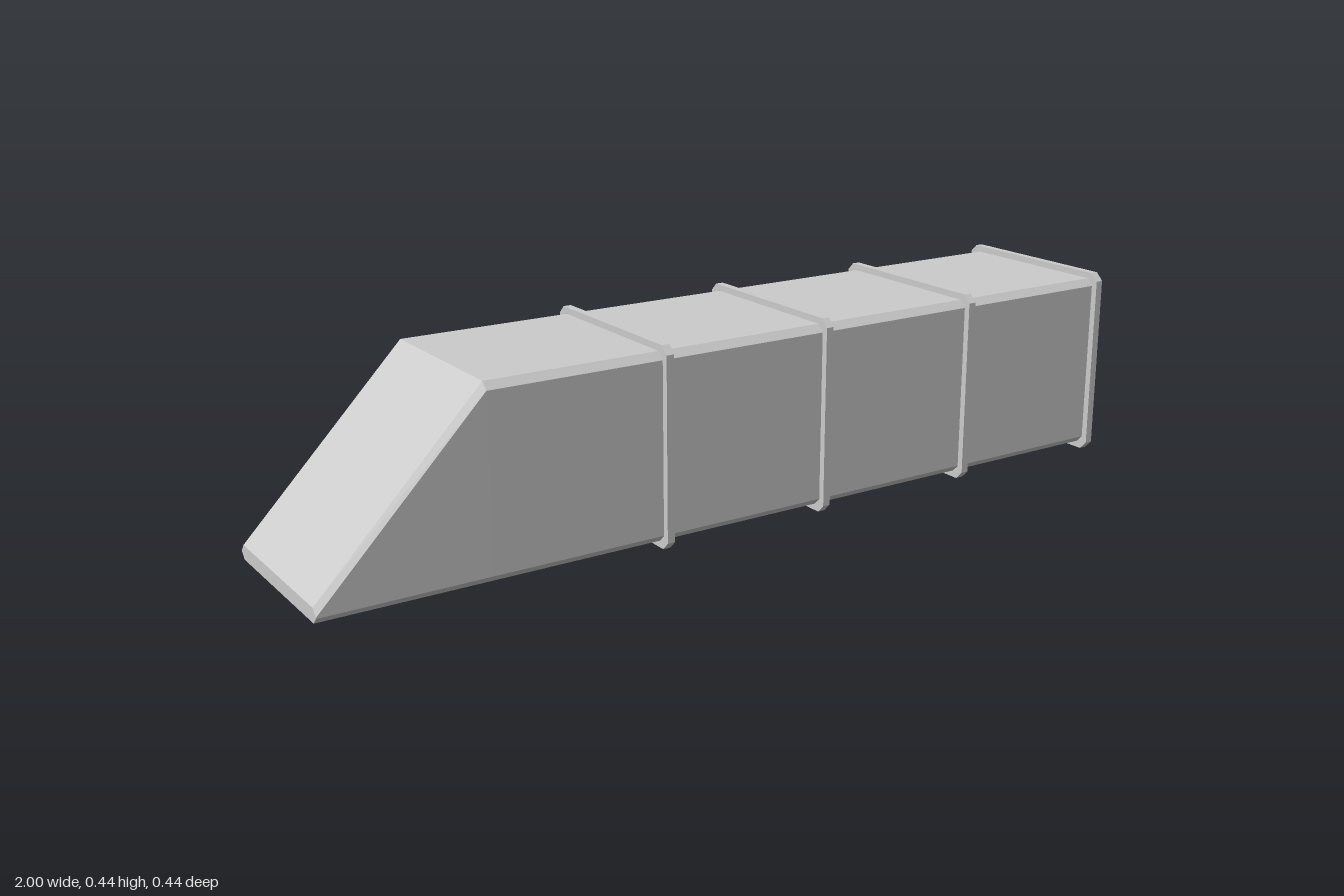
import * as THREE from 'three';

const MID = 0.221; // height of the duct axis
const HALF = 0.206; // half width of the duct
const CUT = 0.016; // corner chamfer

// Chamfered square outline, counter-clockwise, centred on the origin
function octagon(h, c) {
  const k = h - c;
  return [[-k, -h], [k, -h], [h, -k], [h, k], [k, h], [-k, h], [-h, k], [-h, -k]];
}

// Thin-walled duct lofted through octagonal sections, closed at the sloped nose
function ductGeometry() {
  const full = x => octagon(HALF, CUT).map(([u, v]) => [x, v + MID, -u]);
  const k = HALF - CUT, s = 0.203;
  const nose = [[-k, 0.015], [k, 0.015], [s, 0.029], [s, 0.031], [k, 0.047], [-k, 0.047], [-s, 0.031], [-s, 0.029]]
    .map(([u, y]) => [-1, y, -u]);
  const sections = [nose, full(-0.635), full(1)];
  const pos = [];
  const tri = (...pts) => pts.forEach(p => pos.push(...p));
  for (let j = 0; j < sections.length - 1; j++) {
    const a = sections[j], b = sections[j + 1];
    for (let i = 0; i < 8; i++) {
      const n = (i + 1) % 8;
      tri(a[i], a[n], b[n]);
      tri(a[i], b[n], b[i]);
    }
  }
  for (let i = 1; i < 7; i++) tri(nose[0], nose[i + 1], nose[i]);
  const geo = new THREE.BufferGeometry();
  geo.setAttribute('position', new THREE.Float32BufferAttribute(pos, 3));
  geo.computeVertexNormals();
  return geo;
}

// Flat collar that wraps the duct
function collarGeometry(width) {
  const toPoints = pts => pts.map(([u, v]) => new THREE.Vector2(u, v));
  const shape = new THREE.Shape(toPoints(octagon(0.221, 0.018)));
  shape.holes.push(new THREE.Path(toPoints(octagon(HALF + 0.0003, CUT))));
  const geo = new THREE.ExtrudeGeometry(shape, { depth: width, bevelEnabled: false });
  return geo.translate(0, 0, -width / 2).rotateY(Math.PI / 2);
}

export function createModel() {
  const model = new THREE.Group();
  model.name = 'duct';
  const material = new THREE.MeshStandardMaterial({ color: 0xcccccc, flatShading: true });
  const sheet = material.clone();
  sheet.side = THREE.DoubleSide;

  const body = new THREE.Mesh(ductGeometry(), sheet);
  body.name = 'ductBody';
  model.add(body);

  // Evenly spaced collars, the last one at the open end
  const collar = collarGeometry(0.018);
  for (let i = 0; i < 4; i++) {
    const mesh = new THREE.Mesh(collar, material);
    mesh.name = `collar${i + 1}`;
    mesh.position.set(-0.23 + i * 0.407, MID, 0);
    model.add(mesh);
  }
  return model;
}
